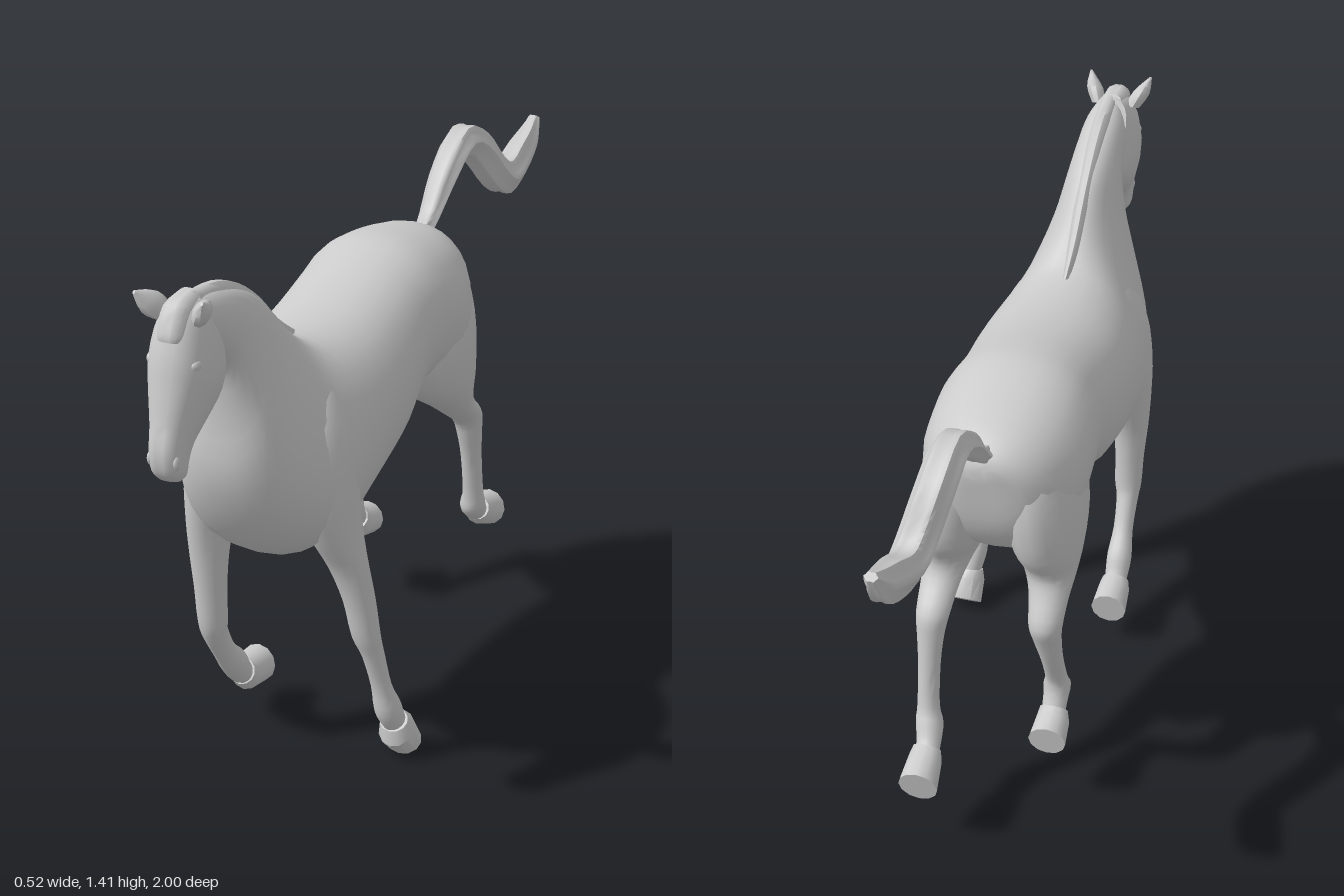
import * as THREE from 'three';
import { toCreasedNormals } from 'three/addons/utils/BufferGeometryUtils.js';

const material = new THREE.MeshStandardMaterial({ color: 0xcccccc, side: THREE.DoubleSide });

function addMesh(parent, name, geometry) {
  const mesh = new THREE.Mesh(geometry, material);
  mesh.name = name;
  parent.add(mesh);
  return mesh;
}

// Smoothly interpolates the rows of a station table
function resample(rows, steps) {
  const out = [];
  const at = (i) => rows[Math.max(0, Math.min(rows.length - 1, i))];
  for (let i = 0; i < rows.length - 1; i++) {
    for (let s = 0; s < steps; s++) {
      const t = s / steps;
      out.push(rows[i].map((_, k) => {
        const [a, b, c, d] = [at(i - 1), at(i), at(i + 1), at(i + 2)].map((r) => r[k] ?? 0);
        return b + 0.5 * t * (c - a + t * (2 * a - 5 * b + 4 * c - d + t * (3 * (b - c) + d - a)));
      }));
    }
  }
  out.push(rows[rows.length - 1]);
  return out;
}

// Closed skin over stations [x, z1, y1, z2, y2, halfWidth, egg]:
// each ring spans two outline points in side view and a half width in x
function loft(rows, { sides = 16, steps = 3, power = 1, ridge = 0, crease = 0.75 } = {}) {
  const rings = resample(rows, steps);
  const pos = [], index = [];
  const bend = (v) => Math.sign(v) * Math.abs(v) ** power;
  for (const [x, z1, y1, z2, y2, w, egg = 0] of rings) {
    for (let j = 0; j < sides; j++) {
      const a = (j / sides) * Math.PI * 2;
      const r = 1 + ridge * Math.cos(a * sides / 4);
      const c = bend(Math.cos(a)) * r, s = bend(Math.sin(a)) * r;
      pos.push(x + w * c * (1 - egg * s), (y1 + y2) / 2 + s * (y1 - y2) / 2, (z1 + z2) / 2 + s * (z1 - z2) / 2);
    }
  }
  const last = rings.length - 1;
  for (const [x, z1, y1, z2, y2] of [rings[0], rings[last]]) pos.push(x, (y1 + y2) / 2, (z1 + z2) / 2);
  const start = rings.length * sides;
  for (let j = 0; j < sides; j++) {
    const k = (j + 1) % sides;
    for (let i = 0; i < last; i++) {
      const a = i * sides + j, b = i * sides + k;
      index.push(a, b, b + sides, a, b + sides, a + sides);
    }
    index.push(start, k, j, start + 1, last * sides + j, last * sides + k);
  }
  const geometry = new THREE.BufferGeometry();
  geometry.setAttribute('position', new THREE.Float32BufferAttribute(pos, 3));
  geometry.setIndex(index);
  return toCreasedNormals(geometry, crease);
}

function addLeg(parent, name, limb, hoof) {
  const leg = new THREE.Group();
  leg.name = name;
  addMesh(leg, 'limb', loft(limb, { sides: 16 }));
  addMesh(leg, 'hoof', loft(hoof, { sides: 12, steps: 1, crease: 0.6 }));
  parent.add(leg);
}

// Mirrors stations about the body's midline, with an optional shift in z
const mirror = (rows, dz = 0) => rows.map(([x, z1, y1, z2, y2, w]) => [-0.1 - x, z1 + dz, y1, z2 + dz, y2, w]);

export function createModel() {
  const horse = new THREE.Group();
  horse.name = 'horse';

  // Rump, barrel, chest and neck
  const trunk = [
    [-0.397, 1.07, -0.388, 0.98, 0.05], [-0.382, 1.1, -0.372, 0.88, 0.105],
    [-0.33, 1.135, -0.32, 0.79, 0.16], [-0.23, 1.16, -0.23, 0.745, 0.198],
    [-0.1, 1.18, -0.1, 0.775, 0.2], [0, 1.165, 0, 0.765, 0.193],
    [0.12, 1.135, 0.12, 0.69, 0.203], [0.25, 1.112, 0.27, 0.645, 0.21],
    [0.38, 1.11, 0.42, 0.615, 0.205, 0.1], [0.44, 1.14, 0.58, 0.63, 0.188, 0.25],
    [0.5, 1.2, 0.69, 0.75, 0.15, 0.4], [0.56, 1.265, 0.752, 0.9, 0.107, 0.33],
    [0.62, 1.31, 0.75, 1.04, 0.081, 0.15], [0.7, 1.35, 0.755, 1.15, 0.064, 0],
    [0.8, 1.38, 0.775, 1.2, 0.058, 0], [0.86, 1.385, 0.8, 1.22, 0.045, 0],
  ].map(([z1, y1, z2, y2, w, egg = 0]) => [-0.05, z1, y1, z2, y2, w, egg]);
  addMesh(horse, 'bodyAndNeck', loft(trunk, { sides: 28, power: 0.9 }));

  // Head, from poll to lips
  const head = new THREE.Group();
  head.name = 'head';
  head.position.x = -0.06;
  horse.add(head);
  addMesh(head, 'skull', loft([
    [0, 0.83, 1.392, 0.77, 1.27, 0.045], [0, 0.91, 1.37, 0.758, 1.19, 0.064],
    [0, 0.95, 1.29, 0.79, 1.14, 0.072], [0, 0.967, 1.22, 0.85, 1.095, 0.06],
    [0, 0.985, 1.14, 0.893, 1.06, 0.045], [0, 1.0, 1.08, 0.912, 1.03, 0.04],
    [0, 0.995, 1.03, 0.92, 1.003, 0.036], [0, 0.975, 1.003, 0.935, 0.993, 0.024],
  ], { sides: 18, power: 0.85 }));
  addMesh(head, 'forelock', loft([
    [0, 0.84, 1.398, 0.82, 1.37, 0.024], [0, 0.915, 1.388, 0.88, 1.35, 0.032],
    [0, 0.947, 1.335, 0.91, 1.32, 0.031], [0, 0.95, 1.315, 0.93, 1.31, 0.024],
  ], { sides: 10 }));
  for (const s of [1, -1]) {
    // Ears, eyes and nostrils
    addMesh(head, 'ear', loft([
      [s * 0.045, 0.85, 1.36, 0.895, 1.335, 0.018], [s * 0.062, 0.875, 1.395, 0.925, 1.36, 0.022],
      [s * 0.08, 0.93, 1.412, 0.936, 1.406, 0.003],
    ], { sides: 10 }));
    const eye = addMesh(head, 'eye', new THREE.SphereGeometry(0.018, 12, 8));
    eye.position.set(s * 0.051, 1.26, 0.915);
    eye.scale.set(0.7, 0.8, 1.1);
    const nostril = addMesh(head, 'nostril', new THREE.SphereGeometry(0.013, 10, 8));
    nostril.position.set(s * 0.031, 1.055, 0.98);
    nostril.scale.set(0.6, 1.3, 0.8);
  }

  // Mane along the crest
  addMesh(horse, 'mane', loft([
    [0.37, 1.115, 0.42, 1.09, 0.008], [0.46, 1.18, 0.52, 1.15, 0.018], [0.55, 1.268, 0.6, 1.21, 0.022],
    [0.65, 1.34, 0.68, 1.28, 0.023], [0.75, 1.382, 0.76, 1.32, 0.024], [0.85, 1.397, 0.84, 1.35, 0.022],
  ].map((r) => [-0.05, ...r]), { sides: 10 }));

  // Tail, with ridges of hair
  addMesh(horse, 'tail', loft([
    [-0.04, -0.35, 1.06, -0.36, 1.12, 0.022], [-0.04, -0.42, 1.11, -0.4, 1.145, 0.027],
    [-0.035, -0.5, 1.18, -0.47, 1.235, 0.036], [-0.03, -0.59, 1.232, -0.59, 1.312, 0.041],
    [-0.02, -0.66, 1.185, -0.705, 1.265, 0.043], [0, -0.735, 1.1, -0.775, 1.18, 0.043],
    [0.01, -0.81, 1.06, -0.815, 1.155, 0.043], [0.017, -0.91, 1.09, -0.88, 1.185, 0.038],
    [0.022, -0.967, 1.135, -0.93, 1.205, 0.03], [0.025, -1.0, 1.215, -0.985, 1.23, 0.015],
  ], { sides: 24, ridge: 0.1, crease: 0.9 }));

  // Haunch and thigh, shared by both hind legs
  const thigh = [
    [0.02, -0.16, 1.09, -0.28, 1.11, 0.035], [0.037, -0.08, 1.0, -0.355, 1.05, 0.08],
    [0.05, -0.03, 0.87, -0.387, 0.93, 0.099], [0.066, -0.085, 0.765, -0.376, 0.8, 0.087],
    [0.079, -0.19, 0.69, -0.335, 0.725, 0.065], [0.085, -0.265, 0.635, -0.345, 0.675, 0.05],
  ];
  addLeg(horse, 'hindLegLeft', [...thigh,
    [0.088, -0.335, 0.58, -0.41, 0.61, 0.042], [0.09, -0.355, 0.53, -0.423, 0.545, 0.034],
    [0.09, -0.378, 0.45, -0.435, 0.46, 0.028], [0.088, -0.402, 0.33, -0.455, 0.35, 0.028],
    [0.082, -0.41, 0.275, -0.475, 0.315, 0.035], [0.075, -0.455, 0.235, -0.5, 0.28, 0.031],
    [0.073, -0.49, 0.215, -0.525, 0.265, 0.03],
  ], [[0.075, -0.475, 0.222, -0.51, 0.278, 0.036], [0.073, -0.5, 0.195, -0.535, 0.275, 0.043],
    [0.072, -0.577, 0.157, -0.597, 0.257, 0.05]]);
  addLeg(horse, 'hindLegRight', [...mirror(thigh),
    [-0.187, -0.3, 0.58, -0.385, 0.6, 0.042], [-0.19, -0.295, 0.52, -0.365, 0.535, 0.035],
    [-0.195, -0.27, 0.44, -0.332, 0.45, 0.028], [-0.198, -0.235, 0.35, -0.295, 0.365, 0.028],
    [-0.198, -0.217, 0.31, -0.29, 0.335, 0.035], [-0.198, -0.245, 0.265, -0.295, 0.31, 0.032],
    [-0.198, -0.28, 0.23, -0.31, 0.28, 0.03],
  ], [[-0.198, -0.265, 0.235, -0.305, 0.29, 0.036], [-0.2, -0.285, 0.2, -0.325, 0.283, 0.043],
    [-0.2, -0.36, 0.178, -0.372, 0.27, 0.048]]);

  // Shoulder and upper arm, shared by both front legs
  const shoulder = [
    [0.035, 0.47, 1.07, 0.43, 1.07, 0.015], [0.05, 0.535, 1.02, 0.4, 1.02, 0.045],
    [0.07, 0.585, 0.93, 0.385, 0.93, 0.068], [0.083, 0.6, 0.8, 0.385, 0.8, 0.073],
  ];
  // The left front leg reaches down, the right is folded back
  addLeg(horse, 'frontLegLeft', [...shoulder, [0.105, 0.565, 0.68, 0.4, 0.68, 0.06],
    [0.13, 0.515, 0.58, 0.42, 0.58, 0.05], [0.15, 0.49, 0.48, 0.41, 0.48, 0.04],
    [0.163, 0.475, 0.38, 0.405, 0.38, 0.036], [0.175, 0.455, 0.32, 0.395, 0.32, 0.028],
    [0.188, 0.43, 0.22, 0.38, 0.225, 0.026], [0.198, 0.425, 0.145, 0.36, 0.175, 0.033],
    [0.205, 0.4, 0.095, 0.345, 0.13, 0.03], [0.21, 0.38, 0.07, 0.335, 0.1, 0.028],
  ], [[0.207, 0.402, 0.092, 0.343, 0.125, 0.036], [0.21, 0.404, 0.05, 0.322, 0.11, 0.045],
    [0.213, 0.355, 0, 0.298, 0.055, 0.048]]);
  addLeg(horse, 'frontLegRight', [...mirror(shoulder, 0.02), [-0.198, 0.605, 0.68, 0.45, 0.68, 0.058],
    [-0.203, 0.59, 0.58, 0.485, 0.58, 0.048], [-0.203, 0.58, 0.48, 0.495, 0.48, 0.04],
    [-0.203, 0.57, 0.38, 0.495, 0.39, 0.037], [-0.205, 0.55, 0.325, 0.485, 0.35, 0.03],
    [-0.206, 0.5, 0.245, 0.445, 0.275, 0.027], [-0.208, 0.455, 0.18, 0.395, 0.225, 0.034],
    [-0.208, 0.41, 0.13, 0.37, 0.18, 0.031], [-0.208, 0.37, 0.11, 0.345, 0.16, 0.028],
  ], [[-0.208, 0.4, 0.12, 0.365, 0.18, 0.036], [-0.209, 0.375, 0.09, 0.345, 0.18, 0.043],
    [-0.21, 0.295, 0.07, 0.28, 0.17, 0.048]]);

  return horse;
}
